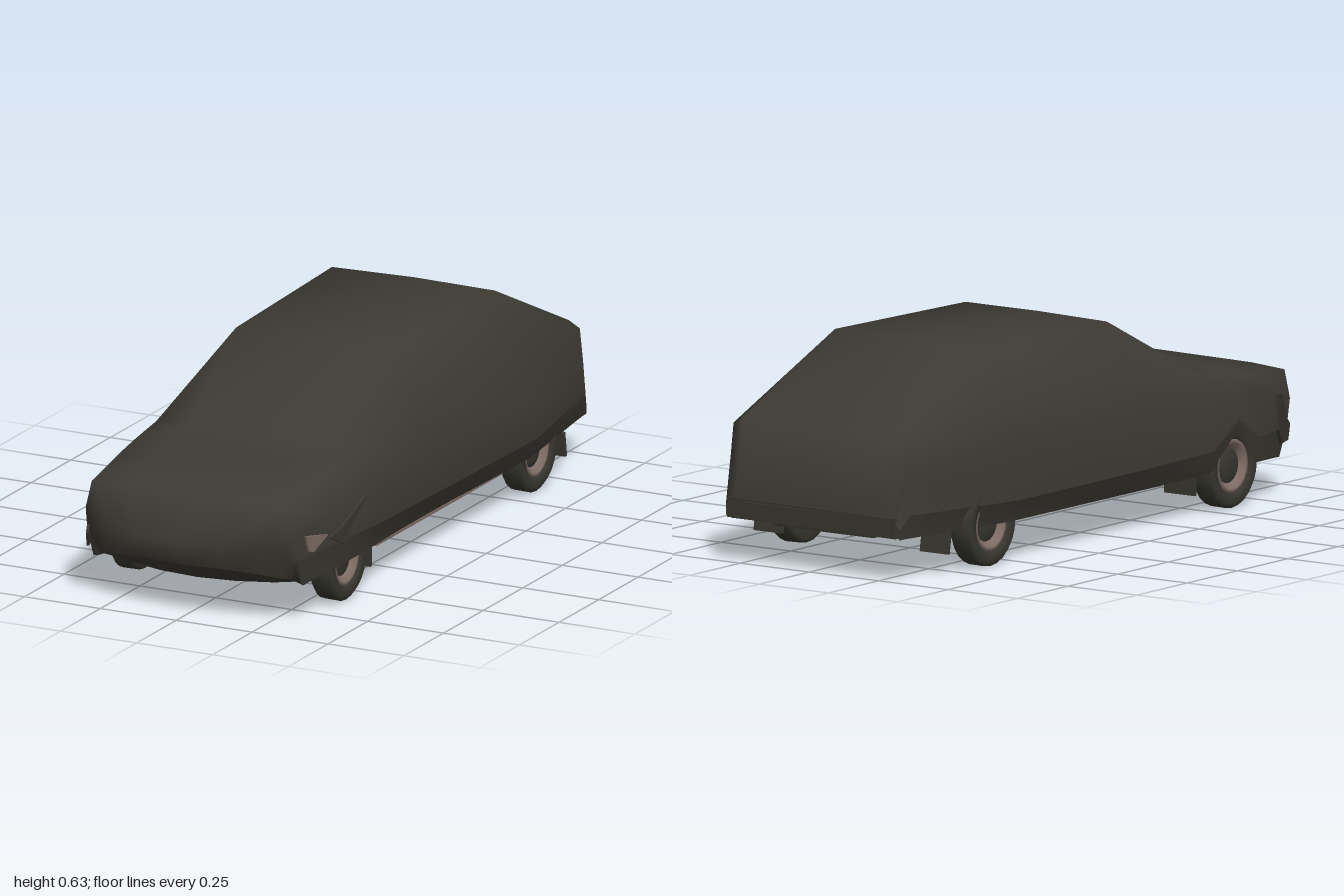
import * as THREE from 'three';

const mat = (name, color, side = THREE.FrontSide) => {
  const m = new THREE.MeshStandardMaterial({ color, side });
  m.name = name;
  return m;
};

export function createModel() {
  const cloth = mat('olive cover cloth', 0x3c3a33, THREE.DoubleSide);
  const rubber = mat('dark rubber', 0x383730);
  const under = mat('underbody', 0x32312b);
  const metal = mat('dull brown metal', 0x7f6e65);

  const car = new THREE.Group();
  car.name = 'coveredCar';
  const add = (name, geo, m, x = 0, y = 0, z = 0, parent = car) => {
    const mesh = new THREE.Mesh(geo, m);
    mesh.name = name;
    mesh.position.set(x, y, z);
    parent.add(mesh);
    return mesh;
  };
  const box = (name, w, h, d, x, y, z, m = under) => add(name, new THREE.BoxGeometry(w, h, d), m, x, y, z);

  // Cover: half cross-sections from under the nose to the tail.
  // z, sweep, ridge y, then x,y of roof edge, belt, widest point, overhang, hem
  const sections = [
    [0.87, 0.06, 0.098, 0.12, 0.1, 0.24, 0.105, 0.29, 0.11, 0.31, 0.113, 0.32, 0.115],
    [0.96, 0.08, 0.16, 0.12, 0.16, 0.24, 0.15, 0.29, 0.14, 0.31, 0.13, 0.325, 0.115],
    [1.0, 0.09, 0.24, 0.13, 0.24, 0.25, 0.24, 0.31, 0.22, 0.33, 0.18, 0.335, 0.115],
    [0.92, 0.0, 0.37, 0.2, 0.37, 0.32, 0.363, 0.34, 0.28, 0.35, 0.2, 0.345, 0.115],
    [0.7, 0.0, 0.4, 0.2, 0.4, 0.33, 0.385, 0.375, 0.31, 0.38, 0.2, 0.37, 0.125],
    [0.59, 0.0, 0.415, 0.21, 0.415, 0.333, 0.4, 0.383, 0.315, 0.388, 0.2, 0.378, 0.125],
    [0.46, 0.0, 0.43, 0.22, 0.43, 0.335, 0.415, 0.39, 0.32, 0.394, 0.195, 0.376, 0.125],
    [0.11, 0.0, 0.618, 0.255, 0.615, 0.338, 0.46, 0.395, 0.33, 0.396, 0.19, 0.358, 0.12],
    [-0.52, 0.0, 0.629, 0.268, 0.624, 0.345, 0.46, 0.4, 0.33, 0.396, 0.19, 0.37, 0.125],
    [-0.95, 0.0, 0.42, 0.28, 0.42, 0.317, 0.4, 0.328, 0.3, 0.335, 0.2, 0.322, 0.13],
    [-0.985, 0.0, 0.18, 0.2, 0.18, 0.29, 0.18, 0.31, 0.175, 0.32, 0.16, 0.32, 0.13],
  ];
  sections.splice(1, 0, sections[1]); // doubled row: sharp edge under the nose
  const pos = [], index = [], cols = 13;
  sections.forEach(([z, sweep, ridge, ...p], r) => {
    for (let c = 0; c < cols; c++) {
      // the overhang point is doubled, for a sharp fold above the hem
      const step = Math.abs(c - 6), k = step > 4 ? step - 1 : step, s = c < 6 ? 1 : -1;
      let x = k ? s * p[2 * k - 2] : 0, y = k ? p[2 * k - 1] : ridge;
      // the cloth hangs a little unevenly: tighter on the left, straighter on the right
      const mid = z < 0.86 && z > -0.9;
      if (mid && k < 3) x -= 0.012;
      if (mid && s > 0 && k > 2 && z > -0.4) x *= 0.965;
      if (mid && s < 0 && k > 3) x -= 0.008;
      if (mid && k === 3) y -= s * 0.025;
      // hem hitched up over the right front wheel
      if (s < 0 && z === 0.59 && k > 3) y = k === 4 ? 0.27 : 0.23;
      const skew = z < -0.9 ? 0.03 * x : 0;
      // lower front corners cut back
      const cut = z > 0.9 && k > 3 ? (k - 3) * 0.03 : 0;
      pos.push(x, y + 0.01 * x, z + skew - cut - sweep * (x / 0.34) ** 2);
      if (r && c) {
        const d = r * cols + c, b = d - cols;
        index.push(b - 1, d - 1, b, b, d - 1, d);
      }
    }
  });
  const cover = new THREE.BufferGeometry();
  cover.setAttribute('position', new THREE.Float32BufferAttribute(pos, 3));
  cover.setIndex(index);
  cover.computeVertexNormals();
  add('cover', cover, cloth);

  // Floor pan with wheel-well notches
  const half = [[0.2, 0.85], [0.3, 0.8], [0.32, 0.75], [0.26, 0.75], [0.26, 0.44], [0.35, 0.42],
    [0.345, -0.45], [0.26, -0.47], [0.26, -0.77], [0.31, -0.79], [0.31, -0.96]];
  const outline = [...half, ...half.map(([x, z]) => [-x, z]).reverse()];
  const floorShape = new THREE.Shape(outline.map(([x, z]) => new THREE.Vector2(x, -z)));
  const floor = new THREE.ExtrudeGeometry(floorShape, { depth: 0.012, bevelEnabled: false });
  floor.rotateX(-Math.PI / 2);
  add('floorPan', floor, under, 0, 0.124, 0);

  // Tunnel, engine tray, tank and cross members
  box('tunnel', 0.08, 0.02, 0.75, 0, 0.118, -0.02);
  box('engineTray', 0.26, 0.03, 0.2, 0, 0.117, 0.66);
  box('fuelTank', 0.36, 0.02, 0.14, 0, 0.12, -0.86);
  box('frontCrossMember', 0.44, 0.02, 0.05, 0, 0.09, 0.5);
  box('rearCrossMember', 0.44, 0.022, 0.08, 0, 0.113, -0.43);
  box('frontTieBar', 0.32, 0.008, 0.012, -0.01, 0.094, 0.53, metal);
  box('rearTieBar', 0.4, 0.008, 0.012, 0, 0.115, -0.52, metal);

  // Exhaust
  const path = new THREE.CatmullRomCurve3([[0.02, 0.11, 0.55], [0.05, 0.108, 0.3],
    [0.05, 0.112, -0.4], [0.14, 0.118, -0.55], [0.16, 0.122, -0.94]].map(a => new THREE.Vector3(...a)));
  add('exhaust', new THREE.TubeGeometry(path, 24, 0.01, 6), under);

  // Axles
  for (const [name, z] of [['frontAxle', 0.59], ['rearAxle', -0.61]]) {
    const axle = new THREE.CylinderGeometry(0.016, 0.016, 0.6, 8);
    axle.rotateZ(Math.PI / 2);
    add(name, axle, under, 0, 0.125, z);
  }

  // Wheels: lathed tyre and dished rim, turned so the outside faces +x
  const lathe = (pts, n) => {
    const g = new THREE.LatheGeometry(pts.map(a => new THREE.Vector2(...a)), n);
    g.rotateZ(-Math.PI / 2);
    return g;
  };
  const tyre = lathe([[0.078, -0.034], [0.11, -0.037], [0.123, -0.026], [0.124, 0.026],
    [0.11, 0.037], [0.082, 0.034], [0.078, 0.02]], 24);
  const rim = lathe([[0.08, -0.03], [0.08, 0.028], [0.068, 0.03], [0.052, 0.012]], 20);
  const hub = lathe([[0.052, 0.012], [0.03, 0.02], [0, 0.02]], 20);
  const backPlate = lathe([[0, -0.02], [0.08, -0.02]], 20);

  for (const s of [1, -1]) {
    const side = s > 0 ? 'left' : 'right';
    for (const [end, z] of [['Front', 0.59], ['Rear', -0.61]]) {
      const wheel = new THREE.Group();
      wheel.name = side + end + 'Wheel';
      wheel.position.set(s * 0.331 - 0.012, 0.125, z);
      if (s < 0) wheel.rotation.y = Math.PI;
      add('tyre', tyre, rubber, 0, 0, 0, wheel);
      add('rim', rim, metal, 0, 0, 0, wheel);
      add('hub', hub, rubber, 0, 0, 0, wheel);
      add('backPlate', backPlate, metal, 0, 0, 0, wheel);
      car.add(wheel);
    }
    // Mud flaps, sills, floor ribs and suspension arms
    box(side + 'FrontMudFlap', 0.11, 0.058, 0.012, s * 0.295 - 0.005, 0.087, 0.43, rubber);
    box(side + 'RearMudFlap', 0.1, 0.075, 0.012, s * 0.3, 0.096, -0.785, rubber).rotation.x = 0.15;
    box(side + 'Sill', 0.025, 0.03, 0.82, s * 0.33, 0.132, -0.02);
    box(side + 'FloorRibFront', 0.12, 0.012, 0.36, s * 0.17, 0.115, 0.21);
    box(side + 'FloorRibRear', 0.14, 0.012, 0.26, s * 0.17, 0.119, -0.2);
    box(side + 'FrontArm', 0.02, 0.02, 0.26, s * 0.22, 0.108, 0.6);
    box(side + 'TrailingArm', 0.022, 0.02, 0.3, s * 0.22, 0.114, -0.58);
  }
  box('leftSillTrim', 0.02, 0.007, 0.8, 0.336, 0.115, 0, metal);

  // Rear bumper showing below the cover at the tail
  box('rearBumper', 0.62, 0.06, 0.03, 0, 0.16, -0.976, rubber).rotation.y = -0.03;
  box('rearBumperStep', 0.3, 0.035, 0.02, 0.1, 0.165, -0.985, rubber);

  // Lamp corner and wing edges pushing through the cloth
  const plate = (name, pts, m, x, z, yaw) => {
    const g = new THREE.ExtrudeGeometry(new THREE.Shape(pts.map(p => new THREE.Vector2(-p[0], p[1]))),
      { depth: 0.008, bevelEnabled: false });
    g.rotateY(Math.PI / 2);
    add(name, g, m, x, 0, z).rotation.y = yaw;
  };
  plate('leftLampCorner', [[0.06, 0.27], [-0.06, 0.245], [0.02, 0.212], [0.045, 0.22]], metal, 0.354, 0.8, -0.07);
  plate('leftWingEdge', [[-0.06, 0.235], [-0.13, 0.25], [-0.27, 0.315], [-0.16, 0.225], [-0.15, 0.19]],
    rubber, 0.36, 0.8, -0.07);
  plate('rightWingCorner', [[-0.07, 0.31], [-0.02, 0.3], [0.03, 0.22], [0.06, 0.2], [0.04, 0.155],
    [-0.03, 0.155], [-0.06, 0.2]], rubber, -0.357, 0.87, 0.35);

  return car;
}
